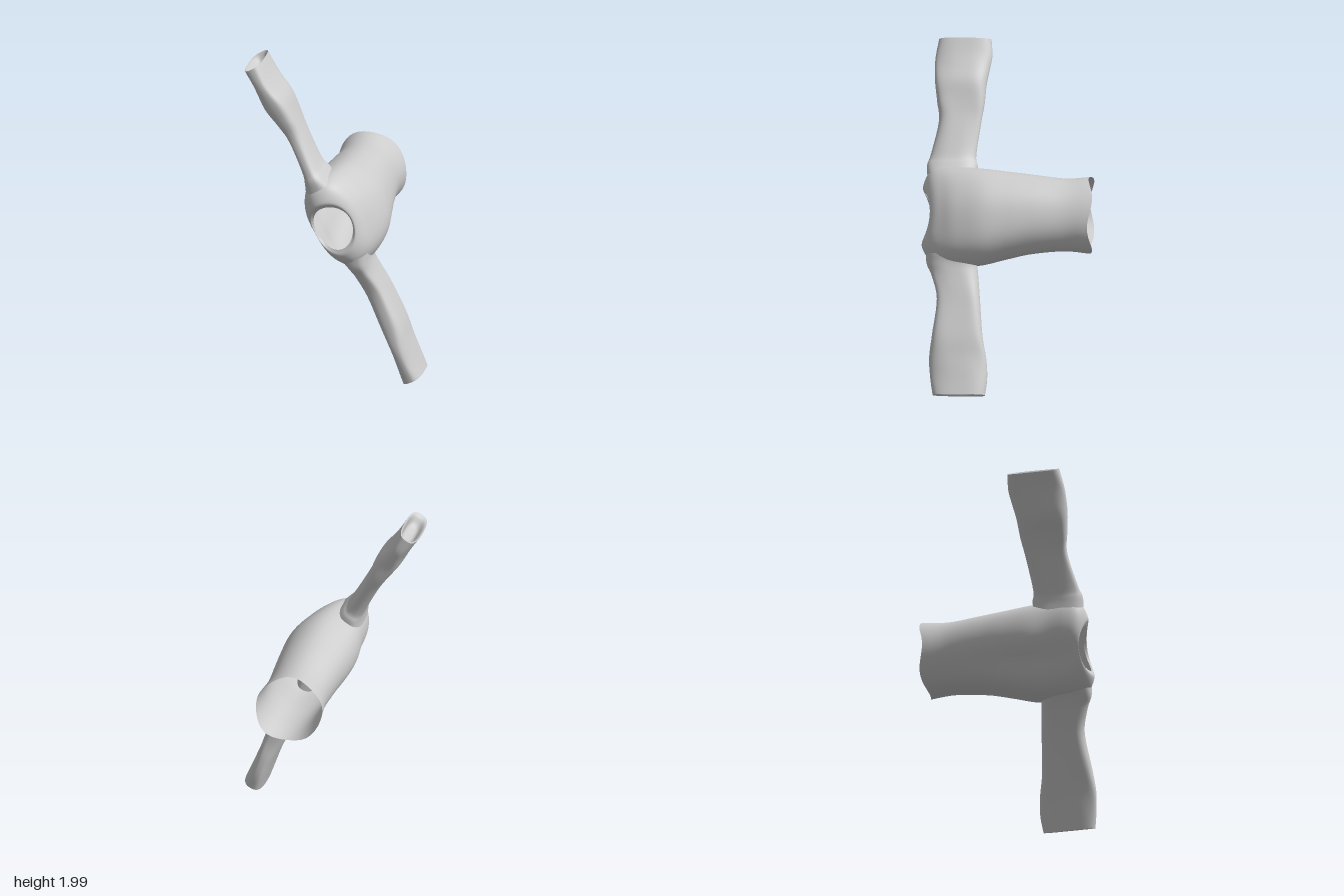
import * as THREE from 'three';

const cloth = new THREE.MeshStandardMaterial({ color: 0xcccccc, side: THREE.DoubleSide });

// Skins a tube over rows of [x, y, z, half width, half height].
// u and w span each cross-section; power < 1 squares it off; warp adds folds.
function loft(name, rows, u, w, { steps = 40, sides = 48, power = 1, warp = null } = {}) {
  const centres = new THREE.CatmullRomCurve3(rows.map(r => new THREE.Vector3(r[0], r[1], r[2])), false, 'catmullrom');
  const sizes = new THREE.CatmullRomCurve3(rows.map(r => new THREE.Vector3(r[3], r[4], 0)), false, 'catmullrom');
  const round = v => Math.sign(v) * Math.abs(v) ** power;
  const pos = [], index = [];
  for (let i = 0; i <= steps; i++) {
    const s = i / steps, c = centres.getPoint(s), size = sizes.getPoint(s);
    for (let j = 0; j < sides; j++) {
      const t = j / sides * Math.PI * 2;
      const p = c.clone()
        .addScaledVector(u, size.x * round(Math.cos(t)))
        .addScaledVector(w, size.y * round(Math.sin(t)));
      if (warp) warp(p, t, s, c);
      pos.push(p.x, p.y, p.z);
      if (i < steps) {
        const a = i * sides + j, b = i * sides + (j + 1) % sides;
        index.push(a, b, a + sides, b, b + sides, a + sides);
      }
    }
  }
  const geo = new THREE.BufferGeometry();
  geo.setAttribute('position', new THREE.Float32BufferAttribute(pos, 3));
  geo.setIndex(index);
  geo.computeVertexNormals();
  const mesh = new THREE.Mesh(geo, cloth);
  mesh.name = name;
  return mesh;
}

// One sleeve: flat tube with a folded-in cuff at its end.
function sleeve(name, rows) {
  const group = new THREE.Group();
  group.name = name;
  const first = rows[0], last = rows[rows.length - 1];
  const d = new THREE.Vector3(last[0] - first[0], last[1] - first[1], 0).normalize();
  const u = new THREE.Vector3(-d.y, d.x, 0), w = new THREE.Vector3(0, 0, 1);
  const creases = (p, t, s) => {
    p.addScaledVector(u, 0.004 * Math.sin(3 * t + 9 * s) * Math.sin(Math.PI * s));
  };
  group.add(loft(name + 'Tube', rows, u, w, { power: 0.7, warp: creases }));

  // Cuff lining running back inside the sleeve
  const inward = (depth, k) => [last[0] - d.x * depth, last[1] - d.y * depth, last[2], last[3] * k, last[4] * k];
  group.add(loft(name + 'Cuff', [inward(0, 1), inward(0.012, 0.82), inward(0.055, 0.55), inward(0.065, 0)],
    u, w, { steps: 12, power: 0.7 }));
  return group;
}

export function createModel() {
  const model = new THREE.Group();
  model.name = 'shirt';

  // Body from the open hem (back) to the open neck (front)
  const across = new THREE.Vector3(0.88, 0.475, 0), along = new THREE.Vector3(-0.475, 0.88, 0);
  const body = [
    [0.055, 1.04, -0.505, 0.202, 0.232],
    [0.055, 1.04, -0.35, 0.19, 0.22],
    [0.055, 1.04, -0.15, 0.205, 0.24],
    [0.055, 1.03, 0.00, 0.22, 0.265],
    [0.058, 1.02, 0.15, 0.225, 0.292],
    [0.055, 1.02, 0.28, 0.20, 0.30],
    [0.040, 1.02, 0.40, 0.175, 0.292],
    [0.030, 1.02, 0.475, 0.155, 0.255],
    [0.025, 1.01, 0.51, 0.13, 0.18],
    [0.025, 1.01, 0.495, 0.115, 0.14],
  ];
  const lobe = (t, at) => Math.max(0, Math.cos(t - at)) ** 8;
  const drape = (p, t, s, c) => {
    // scooped neckline, wavy hem
    p.z -= 0.05 * Math.cos(t) ** 2 * THREE.MathUtils.smoothstep(c.z, 0.3, 0.5);
    p.z -= 0.014 * Math.cos(4 * (t - 0.26)) * (1 - THREE.MathUtils.smoothstep(c.z, -0.5, -0.3));
    // dented lower right side, fuller upper left side, soft lengthwise folds
    const middle = Math.sin(Math.PI * s);
    const fold = 1 + middle * (0.06 * lobe(t, 0.75) - 0.17 * lobe(t, 3.2) + 0.008 * Math.sin(7 * t + 2 * c.z));
    p.x = c.x + (p.x - c.x) * fold;
    p.y = c.y + (p.y - c.y) * fold;
  };
  model.add(loft('body', body, across, along, { steps: 72, sides: 72, warp: drape }));

  // Sleeves leaving the shoulders at opposite ends
  model.add(sleeve('rightSleeve', [
    [-0.078, 1.235, 0.335, 0.090, 0.152],
    [-0.105, 1.295, 0.335, 0.066, 0.152],
    [-0.135, 1.35, 0.33, 0.053, 0.137],
    [-0.228, 1.53, 0.295, 0.051, 0.128],
    [-0.285, 1.635, 0.292, 0.061, 0.143],
    [-0.345, 1.735, 0.295, 0.075, 0.155],
    [-0.400, 1.82, 0.288, 0.064, 0.166],
    [-0.440, 1.885, 0.28, 0.059, 0.17],
    [-0.490, 1.968, 0.275, 0.063, 0.158],
  ]));
  model.add(sleeve('leftSleeve', [
    [0.150, 0.81, 0.332, 0.090, 0.152],
    [0.172, 0.755, 0.325, 0.070, 0.152],
    [0.205, 0.69, 0.305, 0.062, 0.14],
    [0.270, 0.565, 0.282, 0.063, 0.13],
    [0.360, 0.37, 0.285, 0.066, 0.152],
    [0.410, 0.24, 0.28, 0.058, 0.172],
    [0.450, 0.13, 0.272, 0.058, 0.172],
    [0.488, 0.03, 0.27, 0.063, 0.158],
  ]));
  return model;
}
